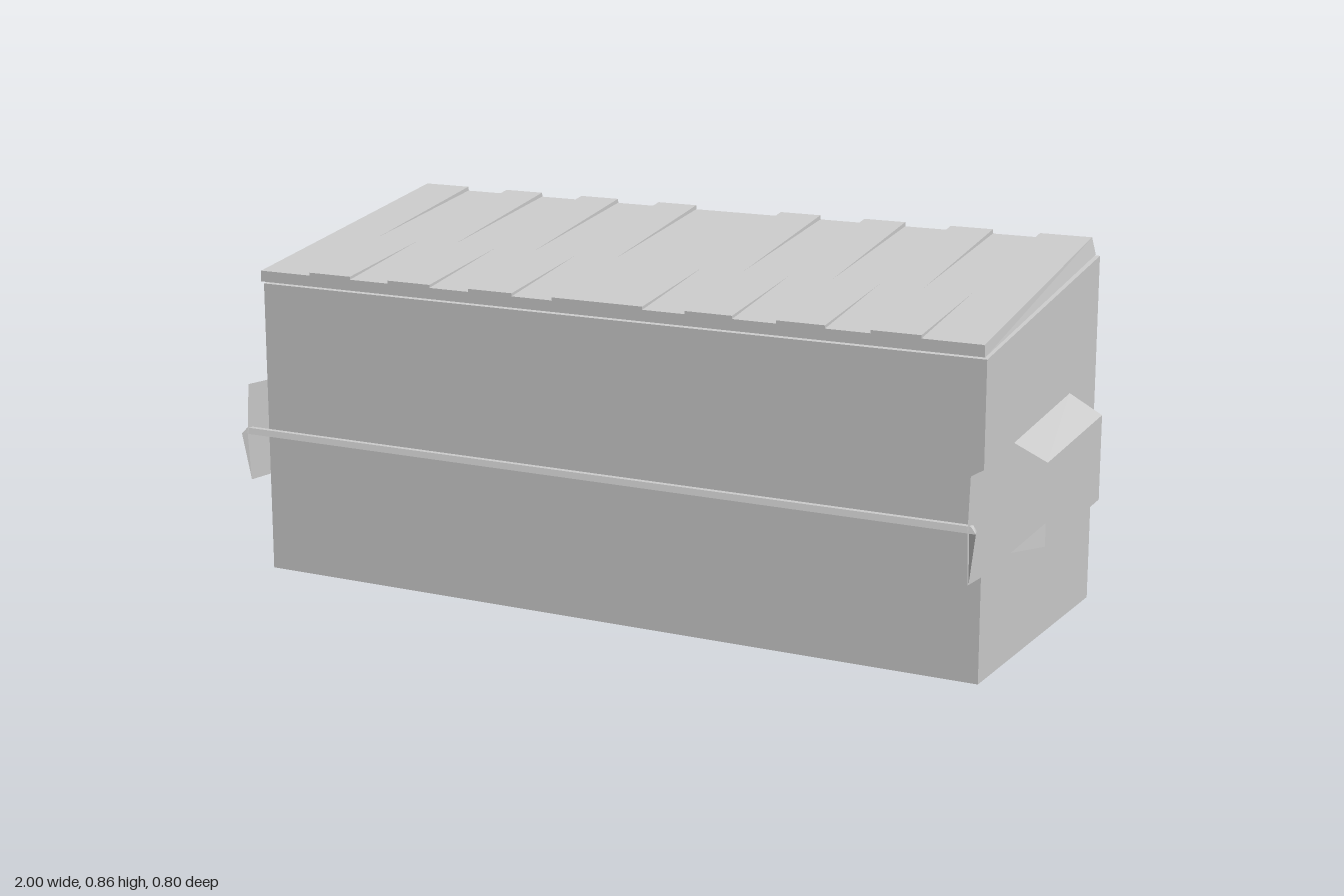
import * as THREE from 'three';

const material = new THREE.MeshStandardMaterial({ color: 0xcccccc, flatShading: true, side: THREE.DoubleSide });

// Builds a mesh from flat quads, each given as four corner points.
function quadMesh(name, quads) {
  const pos = [];
  for (const [a, b, c, d] of quads) pos.push(...a, ...b, ...c, ...a, ...c, ...d);
  const geometry = new THREE.BufferGeometry();
  geometry.setAttribute('position', new THREE.Float32BufferAttribute(pos, 3));
  geometry.computeVertexNormals();
  const mesh = new THREE.Mesh(geometry, material);
  mesh.name = name;
  return mesh;
}

// Solid between two matching four-cornered sections (counter-clockwise seen from +x, a at lower x).
function loft(name, a, b) {
  const quads = [[...a].reverse(), b];
  for (let i = 0; i < 4; i++) {
    const j = (i + 1) % 4;
    quads.push([a[i], a[j], b[j], b[i]]);
  }
  return quadMesh(name, quads);
}

// Section in the z-y plane placed at x; x may differ for each corner.
const section = (points, x) => points.map(([z, y], i) => [Array.isArray(x) ? x[i] : x, y, z]);

// Mirrors a quad list to the other side, keeping faces outward.
const mirror = (quads, s) => (s > 0 ? quads : quads.map(q => q.map(([x, y, z]) => [-x, y, z]).reverse()));

export function createModel() {
  const model = new THREE.Group();
  model.name = 'wasteContainer';

  // Body with a sloping top
  const side = [[0.315, 0], [-0.385, 0], [-0.385, 0.814], [0.315, 0.705]];
  model.add(loft('body', section(side, -0.917), section(side, 0.917)));

  // Lid: alternating raised and sunken strips, crossing in height toward the front
  const lid = new THREE.Group();
  lid.name = 'lid';
  const edges = [0, 0.115, 0.22, 0.335, 0.44, 0.555, 0.66, 0.775, 0.914];
  for (const s of [1, -1]) {
    for (let i = 0; i < edges.length - 1; i++) {
      const raised = i % 2 === 1;
      const outline = [
        [0.327, 0.712], [-0.385, 0.816],
        [-0.375, raised ? 0.857 : 0.847], [0.327, raised ? 0.738 : 0.745],
      ];
      const outer = i === edges.length - 2 ? [0.917, 0.907, 0.9, 0.915] : Array(4).fill(edges[i + 1]);
      const inner = Array(4).fill(edges[i]);
      const [lo, hi] = s > 0 ? [inner, outer] : [outer.map(x => -x), inner.map(x => -x)];
      lid.add(loft('lidStrip', section(outline, lo), section(outline, hi)));
    }
  }
  model.add(lid);

  // Hinge tabs along the back edge
  const tab = [[-0.37, 0.812], [-0.4, 0.816], [-0.4, 0.82], [-0.37, 0.827]];
  for (const [x0, x1] of [[0.01, 0.105], [0.23, 0.33], [0.445, 0.545], [0.67, 0.77]]) {
    model.add(loft('hingeTab', section(tab, x0), section(tab, x1)));
    model.add(loft('hingeTab', section(tab, -x1), section(tab, -x0)));
  }

  // Lifting bar across the front
  const bar = [[0.398, 0.354], [0.378, 0.356], [0.38, 0.368], [0.394, 0.368]];
  model.add(loft('liftBar', section(bar, [-0.935, -0.928, -0.922, -0.922]), section(bar, [0.935, 0.928, 0.922, 0.922])));

  for (const s of [1, -1]) {
    // Thin plate carrying the bar, with a tapering flap below its end
    const x = 0.917;
    model.add(quadMesh('barBracket', mirror([
      [[x, 0.237, 0.315], [x, 0.24, 0.391], [x, 0.357, 0.4], [x, 0.357, 0.315]].reverse(),
      [[x, 0.357, 0.315], [x, 0.357, 0.4], [x, 0.474, 0.39], [x, 0.47, 0.315]].reverse(),
    ], s)));
    const tip = [x + 0.001, 0.24, 0.389];
    const rear = [0.928, 0.356, 0.379], front = [0.935, 0.354, 0.399], root = [x, 0.356, 0.39];
    model.add(quadMesh('bracketFlap', mirror([
      [tip, front, rear, rear], [tip, root, front, front], [tip, rear, root, root],
    ], s)));

    // Fork pocket on the side, open at the front
    const o = [[1, 0.275, 0.157], [1, 0.295, -0.193], [1, 0.49, -0.193], [1, 0.46, 0.157]];
    const n = [[x, 0.245, 0.14], [x, 0.265, -0.21], [x, 0.528, -0.21], [x, 0.49, 0.14]];
    model.add(quadMesh('forkPocket', mirror([
      o, [n[0], n[1], o[1], o[0]], [n[1], n[2], o[2], o[1]], [n[2], n[3], o[3], o[2]],
    ], s)));
  }

  return model;
}
